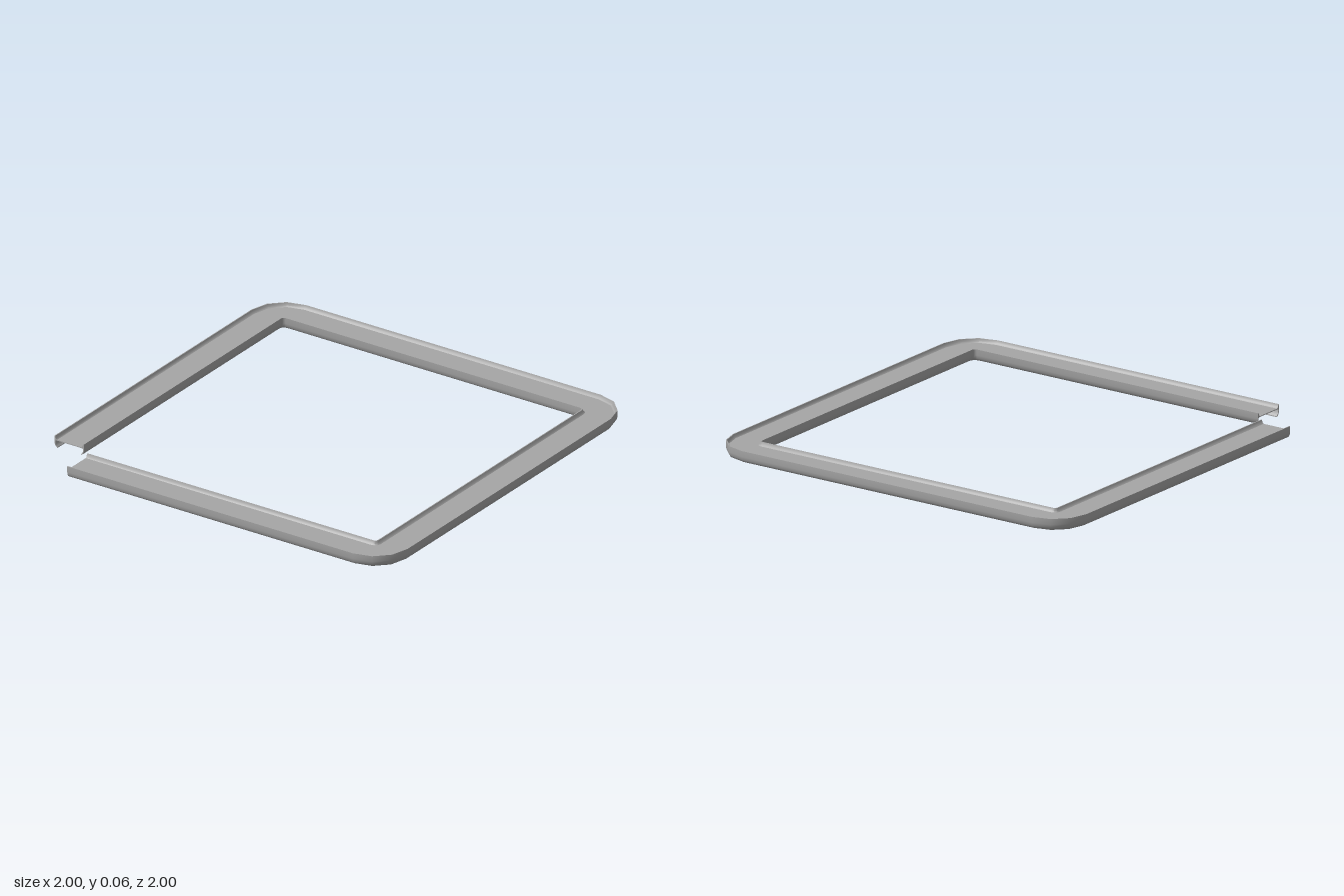
import * as THREE from 'three';
import { toCreasedNormals } from 'three/addons/utils/BufferGeometryUtils.js';

const CORNER = 0.82;   // centre of each rounded corner
const RADIUS = 0.18;   // outer corner radius
const WIDTH = 0.165;   // channel width
const GAP = -0.77;     // where both free ends stop

// Stations along the outer edge: centre point and outward direction
function stations() {
  const list = [{ x: GAP, z: CORNER, dx: 0, dz: 1 }];
  const corners = [[1, 1], [1, -1], [-1, -1]];
  corners.forEach(([sx, sz], c) => {
    for (let i = 0; i <= 3; i++) {
      const a = Math.PI / 2 - (c + i / 3) * Math.PI / 2;
      list.push({ x: sx * CORNER, z: sz * CORNER, dx: Math.cos(a), dz: Math.sin(a) });
    }
  });
  list.push({ x: -CORNER, z: -GAP, dx: -1, dz: 0 });
  return list;
}

// Sweep a closed [inset, height] profile round the frame and cap both ends
function sweep(profile) {
  const path = stations();
  const n = profile.length;
  const pos = [];
  const index = [];
  for (const s of path) {
    for (const [u, y] of profile) {
      const r = RADIUS - u;
      pos.push(s.x + s.dx * r, y, s.z + s.dz * r);
    }
  }
  for (let i = 0; i < path.length - 1; i++) {
    for (let j = 0; j < n; j++) {
      const a = i * n + j, b = i * n + (j + 1) % n;
      index.push(a, a + n, b, b, a + n, b + n);
    }
  }
  const last = (path.length - 1) * n;
  const caps = THREE.ShapeUtils.triangulateShape(profile.map(([u, y]) => new THREE.Vector2(u, y)), []);
  for (const [a, b, c] of caps) {
    index.push(a, b, c, last + a, last + c, last + b);
  }
  const geo = new THREE.BufferGeometry();
  geo.setAttribute('position', new THREE.Float32BufferAttribute(pos, 3));
  geo.setIndex(index);
  return toCreasedNormals(geo, 0.7);
}

export function createModel() {
  const group = new THREE.Group();
  const grey = new THREE.MeshStandardMaterial({ color: 0xa6a6a6, side: THREE.DoubleSide });
  grey.name = 'grey metal';

  // Thin side wall: sloped rim above the web, lower lip curling inwards
  const wall = [
    [0, 0.063], [0, 0.035], [0.003, 0.02], [0.009, 0.01], [0.018, 0.005],
    [0.018, 0.009], [0.012, 0.014], [0.007, 0.022], [0.005, 0.038],
    [0.015, 0.041], [0.015, 0.045], [0.009, 0.05], [0.005, 0.063],
  ];
  const mirrored = wall.map(([u, y]) => [WIDTH - u, y]).reverse();
  const web = [[0.014, 0.045], [0.014, 0.041], [WIDTH - 0.014, 0.041], [WIDTH - 0.014, 0.045]];

  const parts = { outerWall: wall, innerWall: mirrored, channelFloor: web };
  for (const [name, profile] of Object.entries(parts)) {
    const mesh = new THREE.Mesh(sweep(profile), grey);
    mesh.name = name;
    group.add(mesh);
  }
  return group;
}
